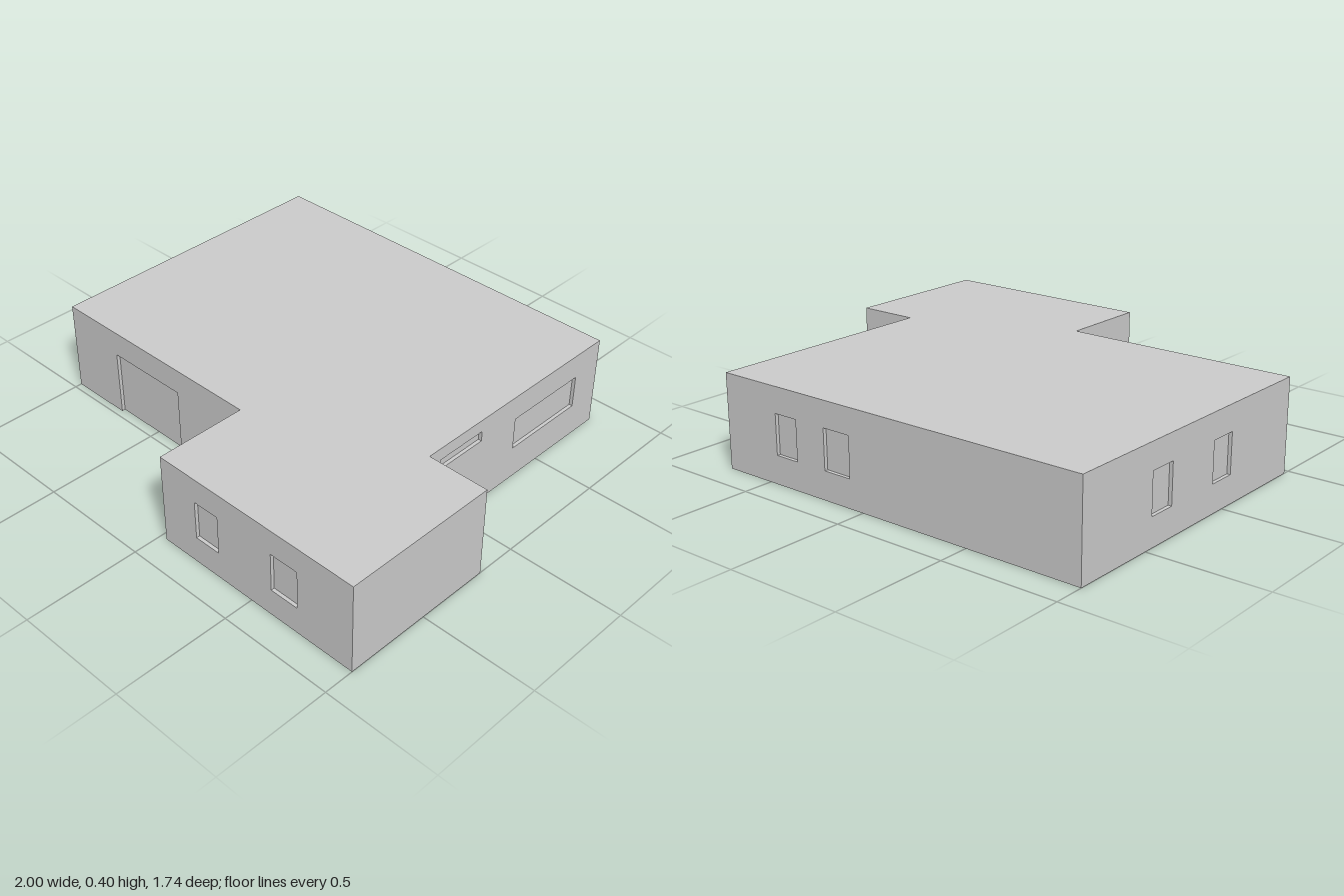
import * as THREE from 'three';

const H = 0.4;      // wall height
const D = 0.015;    // depth of window and door recesses

// Footprint corners [x, z], each starting one wall, counterclockwise from above.
// Openings: [from, to] along the wall's world axis, then [bottom, top].
const WALLS = [
  { name: 'frontWall', at: [-1, 0.47], openings: [[-0.72, -0.34, 0, 0.29]] },
  { name: 'wingInnerWall', at: [0.03, 0.47], openings: [[0.63, 0.73, 0.12, 0.29]] },
  { name: 'wingFrontWall', at: [0.03, 0.87], openings: [[0.21, 0.33, 0.12, 0.29], [0.605, 0.735, 0.12, 0.29]] },
  { name: 'wingOuterWall', at: [1, 0.87], openings: [] },
  { name: 'wingBackWall', at: [1, 0.18], openings: [] },
  { name: 'leftWall', at: [0.73, 0.18], openings: [[-0.725, -0.335, 0.147, 0.29], [-0.126, 0.115, 0.3, 0.345]] },
  { name: 'backWall', at: [0.73, -0.87], openings: [[0.343, 0.455, 0.12, 0.29], [0.063, 0.194, 0.12, 0.29]] },
  { name: 'rightWall', at: [-1, -0.87], openings: [[-0.464, -0.341, 0.12, 0.29], [-0.07, 0.053, 0.12, 0.29]] },
];

const points = WALLS.map((w) => new THREE.Vector2(...w.at));
const count = points.length;
const direction = (i) => points[(i + 1) % count].clone().sub(points[i % count]).normalize();
// True when the corner at the start of wall i points outward
const isConvex = (i) => {
  const p = direction(i + count - 1), q = direction(i);
  return p.y * q.x - p.x * q.y > 0;
};

// Thin outer panel of one wall, with its openings cut through
function wallGeometry(i) {
  const start = points[i], end = points[(i + 1) % count], dir = direction(i);
  const axis = Math.abs(dir.x) > 0.5 ? 'x' : 'y';
  const x0 = isConvex(i) ? D : 0;
  const x1 = start.distanceTo(end) + (isConvex((i + 1) % count) ? 0 : D);
  const outline = [[x0, 0]];
  const holes = [];
  for (const [a, b, bottom, top] of WALLS[i].openings) {
    const [l, r] = [a, b].map((v) => Math.abs(v - start[axis])).sort((m, n) => m - n);
    // a door notches the outline, a window is a hole
    if (bottom === 0) outline.push([l, 0], [l, top], [r, top], [r, 0]);
    else holes.push([[l, bottom], [l, top], [r, top], [r, bottom]]);
  }
  outline.push([x1, 0], [x1, H], [x0, H]);
  const toVectors = (list) => list.map((p) => new THREE.Vector2(...p));
  const shape = new THREE.Shape(toVectors(outline));
  shape.holes = holes.map((h) => new THREE.Path(toVectors(h)));
  return new THREE.ExtrudeGeometry(shape, { depth: D, bevelEnabled: false }).translate(0, 0, -D);
}

// Solid body set back behind the panels; it closes each opening
function coreGeometry() {
  const inset = points.map((p, i) => {
    const a = direction(i + count - 1), b = direction(i);
    return new THREE.Vector2(p.x + D * (a.y + b.y), -(p.y - D * (a.x + b.x)));
  });
  return new THREE.ExtrudeGeometry(new THREE.Shape(inset), { depth: H, bevelEnabled: false })
    .rotateX(-Math.PI / 2);
}

export function createModel() {
  const model = new THREE.Group();
  model.name = 'building';
  const material = new THREE.MeshStandardMaterial({ color: 0xcccccc, flatShading: true });

  const core = new THREE.Mesh(coreGeometry(), material);
  core.name = 'buildingBody';
  model.add(core);

  WALLS.forEach((wall, i) => {
    const dir = direction(i);
    const mesh = new THREE.Mesh(wallGeometry(i), material);
    mesh.name = wall.name;
    mesh.position.set(points[i].x, 0, points[i].y);
    mesh.rotation.y = Math.atan2(-dir.y, dir.x);
    model.add(mesh);
  });
  return model;
}
